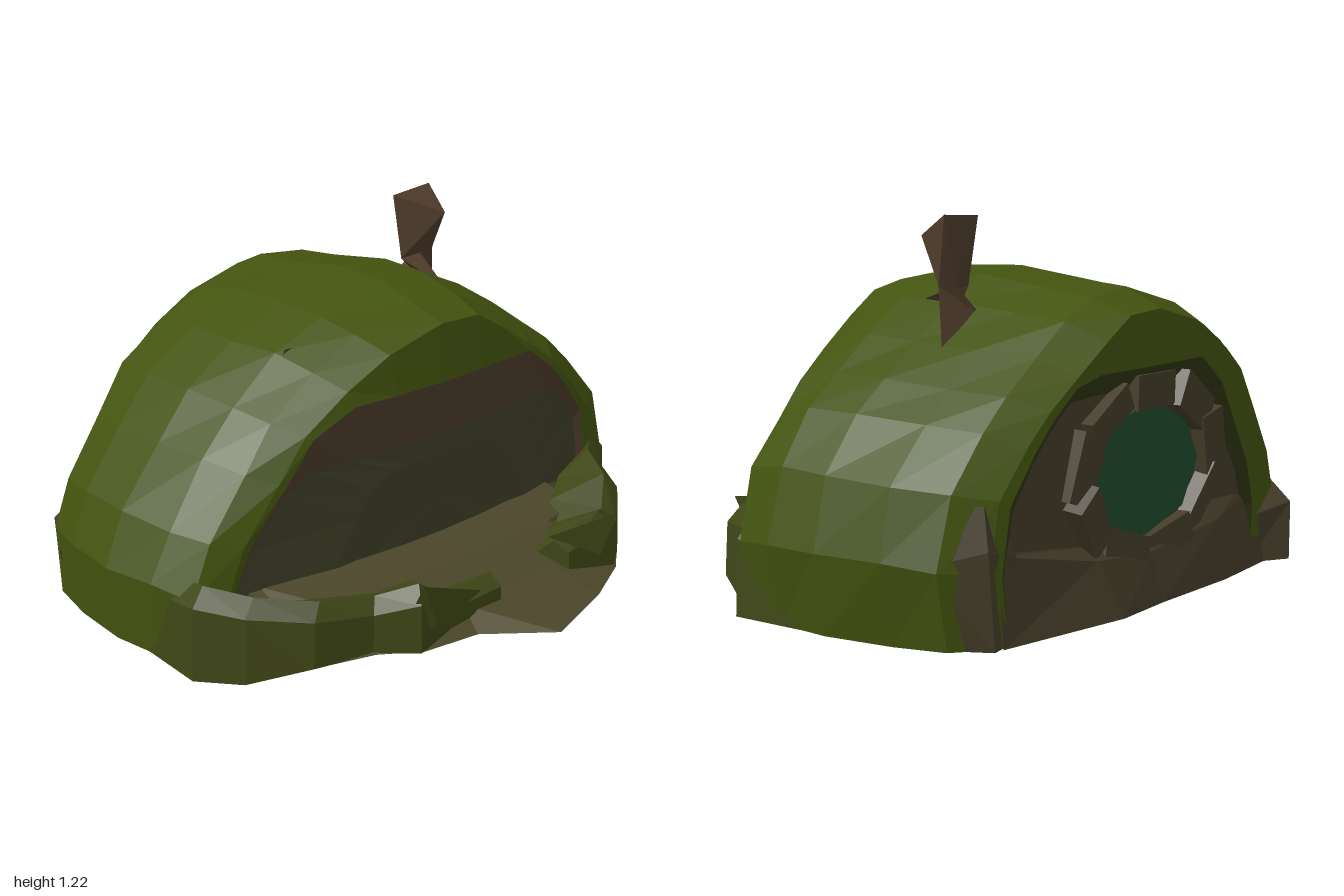
import * as THREE from 'three';

const mat = (color) => new THREE.MeshStandardMaterial({ color, flatShading: true, side: THREE.DoubleSide });
const MOSS = mat(0x43530f), DARK = mat(0x2f3514), BANK = mat(0x3f4616), EARTH = mat(0x4c472a),
  BROWN = mat(0x4e3c2a), STONE = mat(0x453d2a), GLASS = mat(0x1f4a2a), WALL = mat(0x40402a);

// Joins rows of [x, y, z] points into a skin, optionally closed and capped.
function loft(rows, { closed = false, capStart = false, capEnd = false } = {}) {
  const n = rows[0].length, index = [], pos = rows.flat();
  for (let r = 0; r < rows.length - 1; r++) {
    for (let i = 0; i < (closed ? n : n - 1); i++) {
      const a = r * n + i, b = r * n + (i + 1) % n;
      index.push(a, b, a + n, b, b + n, a + n);
    }
  }
  const cap = (r, flip) => {
    const c = pos.length;
    pos.push([0, 1, 2].map((k) => rows[r].reduce((s, p) => s + p[k], 0) / n));
    for (let i = 0; i < n; i++) {
      const a = r * n + i, b = r * n + (i + 1) % n;
      index.push(...(flip ? [c, b, a] : [c, a, b]));
    }
  };
  if (capStart) cap(0, true);
  if (capEnd) cap(rows.length - 1, false);
  const g = new THREE.BufferGeometry();
  g.setAttribute('position', new THREE.Float32BufferAttribute(pos.flat(), 3));
  g.setIndex(index);
  const flat = g.toNonIndexed();
  flat.computeVertexNormals();
  return flat;
}

export function createModel() {
  const model = new THREE.Group();
  const add = (name, geometry, material, parent = model) => {
    const m = new THREE.Mesh(geometry, material);
    m.name = name;
    parent.add(m);
    return m;
  };
  let seed = 7;
  const rand = () => (seed = (seed * 16807) % 2147483647) / 2147483647 - 0.5;

  // Mound: one arched profile scaled along z, with lightly uneven facets; top flattens the arch
  const arch = [[0.96, 0], [1, 0.25], [0.95, 0.48], [0.8, 0.64], [0.68, 0.74], [0.52, 0.84], [0.35, 0.94],
    [0.2, 1.02], [0, 1.03], [-0.27, 0.97], [-0.47, 0.88], [-0.66, 0.76], [-0.78, 0.61], [-0.93, 0.42],
    [-1, 0.25], [-0.98, 0]];
  const ring = (z, sx, sy, { bend = 0, rough = 0, top = 2, shift = 0 } = {}) => arch.map(([x, y]) => [
    x * sx + shift + rand() * rough, y === 0 ? 0 : Math.min(top, y * sy) + rand() * rough,
    z + bend * x * x + rand() * rough]);
  const backEdge = ring(-0.76, 0.8, 0.9, { bend: 0.05 });
  const backRim = ring(-0.755, 0.7, 0.86, { bend: 0.03, top: 0.75, shift: 0.06 });
  const frontEdge = ring(0.26, 0.84, 0.92, { bend: -0.08 });
  const frontRim = ring(0.285, 0.81, 0.9, { bend: -0.11, top: 0.76 });
  add('mossMound', loft([
    backRim, backEdge, ring(-0.64, 0.92, 0.955, { bend: 0.02, rough: 0.02 }), ring(-0.45, 0.98, 0.98, { rough: 0.025 }),
    ring(-0.22, 1, 1, { rough: 0.012 }), ring(-0.02, 0.985, 1, { rough: 0.02 }),
    ring(0.13, 0.94, 0.965, { rough: 0.015 }), frontEdge, frontRim,
  ], { closed: true }), MOSS);

  // Front: brown brow above a gently bowed facade, nearly flush with it
  const frontInner = ring(0.25, 0.79, 0.84, { bend: -0.09, top: 0.57 });
  add('frontBrow', loft([frontRim, frontInner], { closed: true }), BROWN);
  add('frontFacade', loft([frontInner, ring(0.255, 0.45, 0.6, { bend: -0.03, top: 0.5 })], { closed: true, capEnd: true }), WALL);

  // Back: dark overhang and a shallow recessed wall
  const backInner = ring(-0.705, 0.66, 0.8, { top: 0.68, shift: 0.06 });
  add('backBrow', loft([backRim, backInner], { closed: true }), DARK);
  add('backWall', loft([backInner, ring(-0.7, 0.4, 0.4)], { closed: true, capEnd: true }), STONE);

  // Oval back window ringed by rough stones
  const backWindow = new THREE.Group();
  backWindow.name = 'backWindow';
  backWindow.position.set(0, 0.42, -0.705);
  model.add(backWindow);
  add('windowPane', new THREE.CylinderGeometry(1, 1, 0.02, 8).rotateX(Math.PI / 2).scale(0.3, 0.21, 1), GLASS, backWindow);
  for (let i = 0; i < 9; i++) {
    const a = (i / 9) * Math.PI * 2 + 0.2;
    const s = add('windowStone', new THREE.BoxGeometry(0.22, 0.11 + rand() * 0.04, 0.06 + rand() * 0.03), STONE, backWindow);
    s.position.set(Math.cos(a) * 0.36, Math.sin(a) * 0.25, -0.01);
    s.rotation.set(rand() * 0.3, rand() * 0.3, Math.atan2(Math.cos(a) * 0.25, -Math.sin(a) * 0.36));
  }
  // Sloping footing under the window
  add('backFooting', loft([
    [[-0.8, 0, -0.72], [-0.4, 0, -0.77], [0, 0, -0.78], [0.24, 0, -0.8], [0.76, 0, -0.73]],
    [[-0.8, 0.26, -0.68], [-0.4, 0.2, -0.74], [0, 0.16, -0.74], [0.3, 0.18, -0.74], [0.76, 0.27, -0.71]],
    [[-0.76, 0.32, -0.66], [-0.4, 0.26, -0.7], [0, 0.2, -0.7], [0.3, 0.22, -0.7], [0.74, 0.34, -0.67]],
  ]), STONE);

  // Front yard: thin pointed apron, with ground rising to the facade
  const edge = [[-0.95, 0.2], [-0.88, 0.31], [-0.72, 0.45], [-0.53, 0.51], [-0.4, 0.6], [-0.2, 0.63], [0, 0.8],
    [0.3, 0.7], [0.5, 0.6], [0.72, 0.42], [0.8, 0.25], [0.92, 0.15]];
  const rim = edge.map(([x, z]) => [x, z > 0.4 ? 0.05 : 0.02, z]);
  add('yardUnderside', loft([
    edge.map(([x]) => [x * 0.9, 0, 0.1]), edge.map(([x, z]) => [x * 0.92, 0, Math.min(z, 0.32)]), rim,
  ]), DARK);
  add('yardGround', loft([
    rim, edge.map(([x, z]) => [x * 0.86, 0.11, Math.min(z * 0.85, 0.54)]),
    edge.map(([x, z]) => [x * 0.8, 0.18, Math.min(z * 0.8, 0.38)]), edge.map(([x]) => [x * 0.8, 0.22, 0.25 - 0.11 * x * x]),
  ]), EARTH);

  // Banks around the yard: [x, z, top height, thickness], sloping inward, open at the path
  const bank = (name, path) => add(name, loft(path.map(([x, z, h, t]) => {
    const k = 1 - t / Math.hypot(x, z), m = 1 - 0.06 / Math.hypot(x, z);
    return [[x, z > 0.4 ? 0.05 : 0, z], [x * 0.99, h * 0.8, z * 0.99], [x * m, h, z * m],
      [x * k, h * 0.72, z * k], [x * k, 0.08, z * k]];
  }), { closed: true, capStart: true, capEnd: true }), BANK);
  bank('leftBank', [[0.95, -0.15, 0.25, 0.12], [0.95, 0.15, 0.3, 0.16], [0.82, 0.25, 0.3, 0.18],
    [0.72, 0.42, 0.28, 0.25], [0.6, 0.52, 0.21, 0.25], [0.5, 0.59, 0.25, 0.22], [0.3, 0.57, 0.19, 0.12]]);
  bank('rightBank', [[-0.96, -0.1, 0.26, 0.12], [-0.99, 0.18, 0.3, 0.18], [-0.89, 0.31, 0.27, 0.2],
    [-0.73, 0.45, 0.25, 0.25], [-0.53, 0.5, 0.22, 0.22], [-0.42, 0.6, 0.26, 0.24], [-0.27, 0.58, 0.17, 0.18],
    [-0.04, 0.58, 0.18, 0.14]]);

  // Leaning shards on the bank tops: base corners rising to a tip
  const shard = (name, a, b, c, tip, material) => add(name, loft([[a, b, c], [tip, tip, tip]], { closed: true, capStart: true }), material);
  shard('bankShard', [-0.43, 0.1, 0.52], [-0.42, 0.28, 0.61], [-0.36, 0.12, 0.61], [-0.22, 0.22, 0.66], BANK);
  shard('bankShard', [0.5, 0.12, 0.5], [0.49, 0.25, 0.6], [0.42, 0.12, 0.6], [0.23, 0.22, 0.53], BANK);
  shard('roofTuft', [-0.47, 0.85, -0.02], [-0.3, 0.9, -0.02], [-0.42, 0.88, -0.06], [-0.44, 0.9, 0.01], DARK);

  // Blunt rocks at the back corners, mirrored with their own reach and height
  for (const [side, reach, h] of [[-1, -0.78, 0.28], [1, -0.73, 0.42]]) {
    add('cornerRock', loft([
      [[0.9, 0, -0.55], [0.8, 0, reach], [0.66, 0, -0.7], [0.7, 0, -0.5]],
      [[0.935, h * 0.6, -0.58], [0.82, h * 0.7, reach + 0.01], [0.68, h * 0.6, -0.72], [0.7, h * 0.7, -0.5]],
      [[0.87, h, -0.6], [0.8, h, -0.69], [0.72, h * 0.9, -0.69], [0.75, h, -0.55]],
    ].map((row) => row.map(([x, y, z]) => [x * side, y, z])), { closed: true, capEnd: true }), STONE);
  }

  // Crooked three-sided chimney with a flared foot, widening toward its top
  add('chimney', loft([
    [[0.33, 0.93, -0.06], [0.53, 0.82, -0.32], [0.34, 0.9, -0.33]],
    [[0.31, 0.99, -0.25], [0.47, 1.0, -0.26], [0.42, 1.0, -0.29]],
    [[0.43, 1.15, -0.16], [0.48, 1.22, -0.29], [0.3, 1.21, -0.28]],
  ], { closed: true, capEnd: true }), BROWN);

  return model;
}
